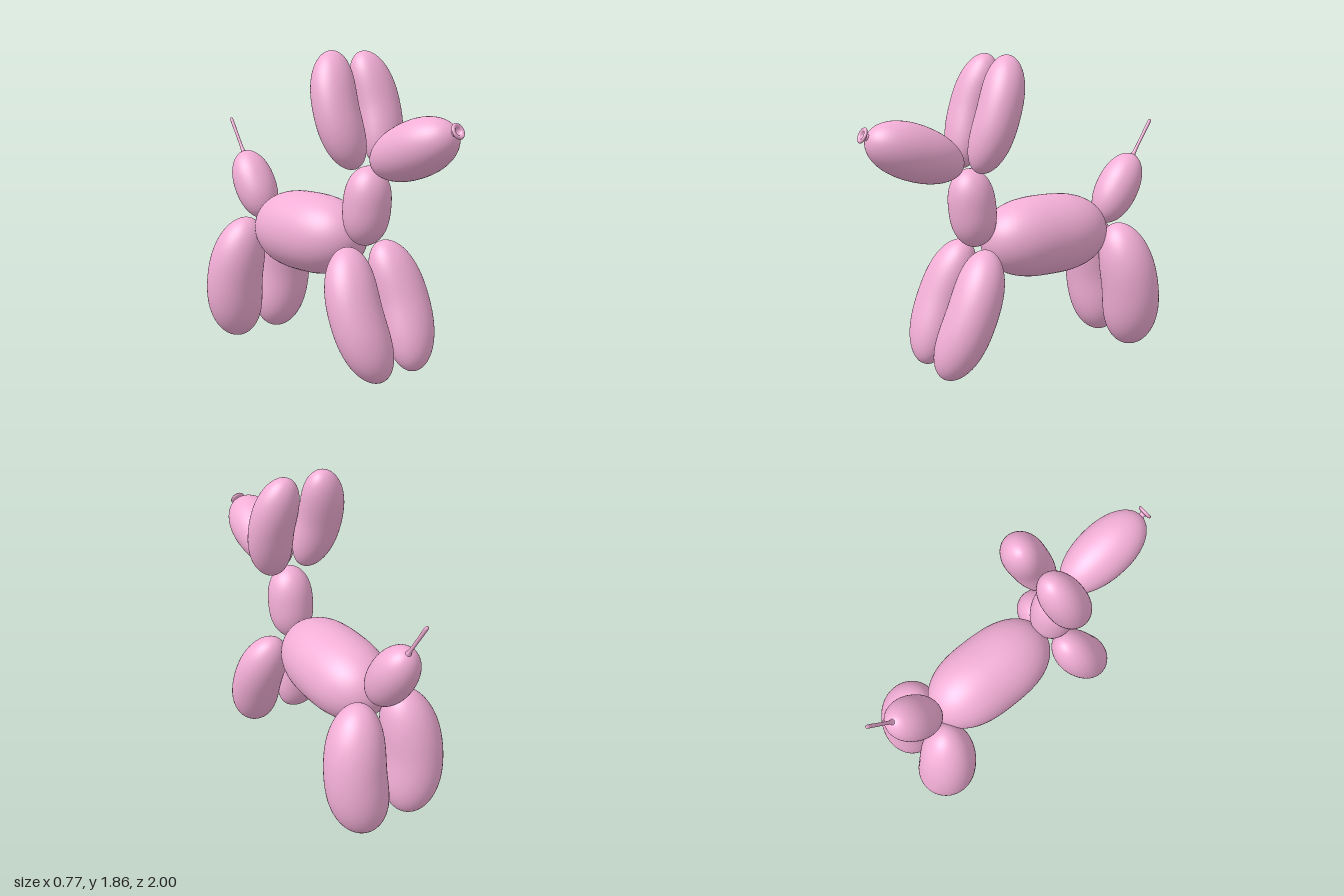
import * as THREE from 'three';

const pink = new THREE.MeshStandardMaterial({ color: 0xf2aed6 });
const v = (x, y, z) => new THREE.Vector3(x, y, z);

// Inflated segment swept along an arc through start, mid and end.
// rx: radius across x, rz: radius in the other direction,
// power: bluntness of the ends, egg: extra fullness towards the end.
function balloon(name, start, mid, end, rx, rz, power = 2.5, egg = 0) {
  const rings = 48, sides = 48;
  const control = mid.clone().multiplyScalar(2).addScaledVector(start, -0.5).addScaledVector(end, -0.5);
  const curve = new THREE.QuadraticBezierCurve3(start, control, end);
  const positions = [], index = [];
  for (let i = 0; i <= rings; i++) {
    const u = -Math.cos((Math.PI * i) / rings);
    const t = (u + 1) / 2;
    const center = curve.getPoint(t);
    const tangent = curve.getTangent(t);
    const across = v(1, 0, 0).addScaledVector(tangent, -tangent.x).normalize();
    const depth = tangent.clone().cross(across);
    const swell = Math.sqrt(Math.max(1e-6, 1 - Math.abs(u) ** power)) * (1 + egg * u);
    for (let j = 0; j < sides; j++) {
      const a = (2 * Math.PI * j) / sides;
      const p = center.clone()
        .addScaledVector(across, Math.cos(a) * rx * swell)
        .addScaledVector(depth, Math.sin(a) * rz * swell);
      positions.push(p.x, p.y, p.z);
      if (i < rings) {
        const k = (j + 1) % sides, r0 = i * sides, r1 = r0 + sides;
        index.push(r0 + j, r0 + k, r1 + j, r0 + k, r1 + k, r1 + j);
      }
    }
  }
  const geometry = new THREE.BufferGeometry();
  geometry.setAttribute('position', new THREE.Float32BufferAttribute(positions, 3));
  geometry.setIndex(index);
  geometry.computeVertexNormals();
  const mesh = new THREE.Mesh(geometry, pink);
  mesh.name = name;
  return mesh;
}

// Straight balloon between two points
const straight = (name, a, b, rx, rz, power, egg) =>
  balloon(name, a, a.clone().lerp(b, 0.5), b, rx, rz, power, egg);

// Turned part standing at base and pointing along direction
function turned(name, profile, base, direction) {
  const points = new THREE.SplineCurve(profile.map(([r, y]) => new THREE.Vector2(r, y))).getPoints(40);
  points.forEach((p) => { p.x = Math.max(0, p.x); });
  const mesh = new THREE.Mesh(new THREE.LatheGeometry(points, 32), pink);
  mesh.name = name;
  mesh.position.copy(base);
  mesh.quaternion.setFromUnitVectors(v(0, 1, 0), direction.clone().normalize());
  return mesh;
}

export function createModel() {
  const model = new THREE.Group();
  model.name = 'balloonDog';

  // Trunk, neck, head and tail
  model.add(
    straight('body', v(0, 0.755, -0.61), v(0, 0.755, 0.245), 0.247, 0.247, 2.7),
    straight('neck', v(0, 0.745, 0.295), v(0, 1.21, 0.345), 0.14, 0.14, 2.5),
    straight('muzzle', v(0, 1.22, 0.385), v(0, 1.428, 0.955), 0.163, 0.16, 2.15, 0.05),
    straight('tail', v(0, 0.785, -0.612), v(0, 1.2, -0.858), 0.137, 0.133, 2.15),
  );

  // Paired legs and ears, bowed outward
  for (const s of [1, -1]) {
    const side = s > 0 ? 'left' : 'right';
    model.add(
      balloon(side + 'FrontLeg', v(s * 0.115, 0.745, 0.295), v(s * 0.195, 0.39, 0.438),
        v(s * 0.11, 0.03, 0.585), 0.163, 0.144, 3),
      balloon(side + 'HindLeg', v(s * 0.11, 0.79, -0.615), v(s * 0.202, 0.4, -0.7),
        v(s * 0.115, 0.008, -0.73), 0.181, 0.178, 3, 0.05),
      balloon(side + 'Ear', v(s * 0.09, 1.205, 0.337), v(s * 0.167, 1.53, 0.24),
        v(s * 0.095, 1.848, 0.143), 0.138, 0.122, 3),
    );
  }

  // Tied nozzle on the nose, with a rolled lip and a hollow
  model.add(turned('nozzle', [
    [0.035, -0.03], [0.018, 0], [0.02, 0.014], [0.038, 0.018], [0.046, 0.027],
    [0.038, 0.036], [0.025, 0.032], [0.017, 0.02], [0, 0.014],
  ], v(0, 1.433, 0.953), v(0, 0.43, 0.9)));

  // Thin uninflated end of the tail
  model.add(turned('tailTip', [
    [0.035, -0.02], [0.018, 0.015], [0.011, 0.05], [0.01, 0.15], [0.011, 0.25],
    [0.008, 0.272], [0, 0.278],
  ], v(0, 1.182, -0.85), v(0, 0.24, -0.145)));

  return model;
}
